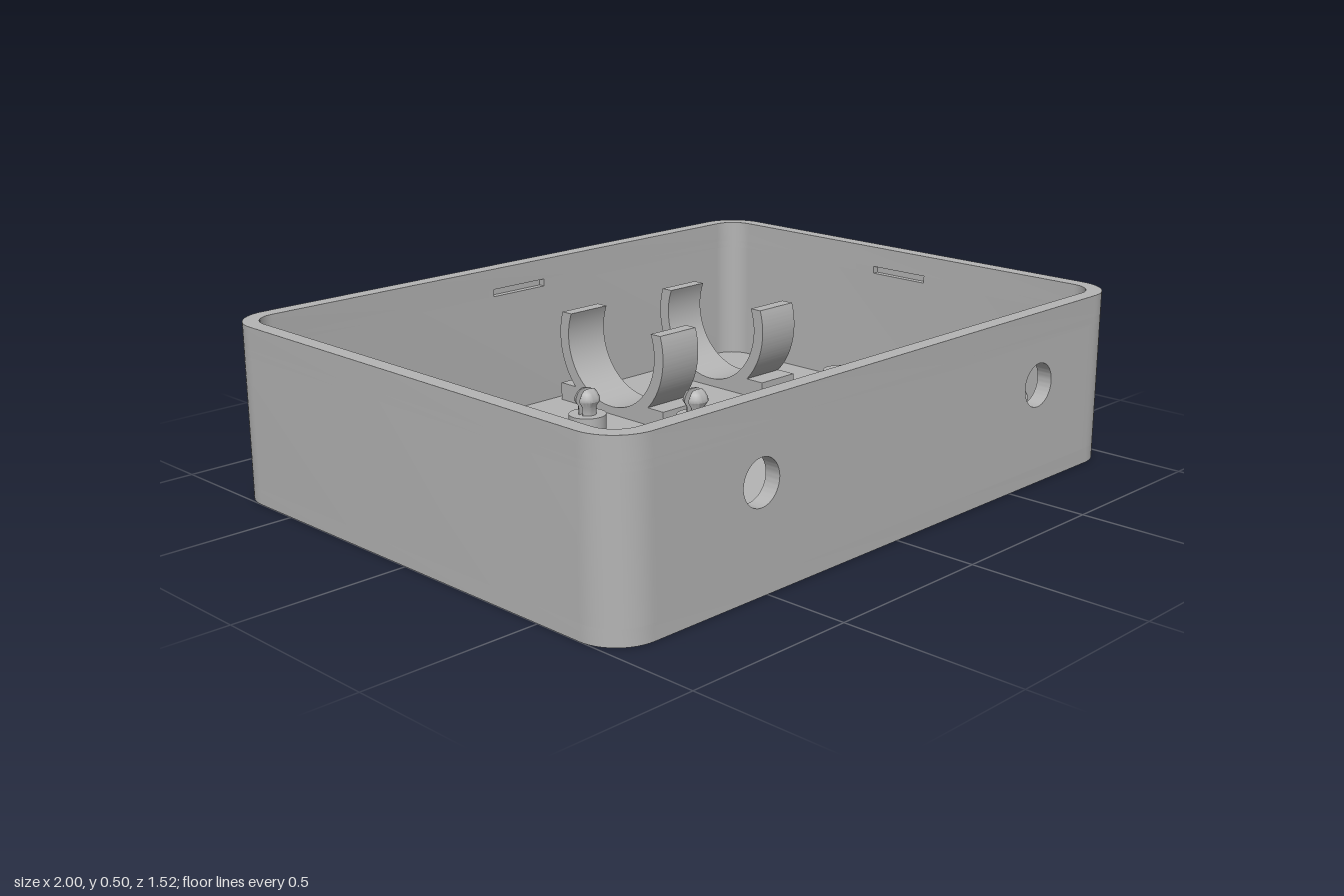
import * as THREE from 'three';
import { toCreasedNormals } from 'three/addons/utils/BufferGeometryUtils.js';

const HX = 1, HZ = 0.7625, R = 0.12;         // outer half sizes and corner radius
const IX = 0.955, IZ = 0.7175, IR = 0.075;   // inner cavity
const FLOOR = 0.045, HEIGHT = 0.5;
const GROOVE = [0.415, 0.437];               // lid groove, bottom and top
const GAP = 0.86;                            // half width of the front panel

const V = (x, y) => new THREE.Vector2(x, y);

// Rounded rectangle, counter-clockwise from the front right corner.
// A notch depth above zero cuts a short slot in the middle of each side.
function outline(hx, hz, r, notch = 0) {
  const pts = [];
  [[1, -1], [1, 1], [-1, 1], [-1, -1]].forEach(([sx, sz], k) => {
    for (let i = 0; i <= 12; i++) {
      const a = (k - 1 + i / 12) * Math.PI / 2;
      pts.push(V(sx * (hx - r) + r * Math.cos(a), sz * (hz - r) + r * Math.sin(a)));
    }
    if (notch > 0) {
      const a = k * Math.PI / 2, d = k % 2 ? hz : hx;
      for (const [n, t] of [[d, -0.1], [d + notch, -0.1], [d + notch, 0.1], [d, 0.1]]) {
        pts.push(V(n * Math.cos(a) - t * Math.sin(a), n * Math.sin(a) + t * Math.cos(a)));
      }
    }
  });
  return pts;
}

const extrude = (shape, depth) => toCreasedNormals(
  new THREE.ExtrudeGeometry(shape, { depth, bevelEnabled: false, curveSegments: 32 }), 0.6);

// Extrude a plan shape upward between two heights.
const slab = (shape, y0, y1) => extrude(shape, y1 - y0).rotateX(-Math.PI / 2).translate(0, y0, 0);

function ring(notch) {
  const s = new THREE.Shape(outline(HX, HZ, R));
  s.holes.push(new THREE.Path(outline(IX, IZ, IR, notch)));
  return s;
}

export function createModel() {
  const model = new THREE.Group();
  model.name = 'enclosure';
  const grey = new THREE.MeshStandardMaterial({ color: 0xb4b4b4 });
  grey.name = 'grey plastic';

  const add = (name, geometry, parent = model) => {
    const mesh = new THREE.Mesh(geometry, grey);
    mesh.name = name;
    parent.add(mesh);
    return mesh;
  };

  // Floor
  add('floor', slab(new THREE.Shape(outline(HX, HZ, R)), 0, FLOOR));

  // Side and back walls, open where the front panel sits
  const wall = [
    V(GAP, -HZ), ...outline(HX, HZ, R), V(-GAP, -HZ),
    V(-GAP, -IZ), ...outline(IX, IZ, IR).reverse(), V(GAP, -IZ),
  ];
  add('sideAndBackWalls', slab(new THREE.Shape(wall), FLOOR, GROOVE[0]));

  // Front panel with two round cable holes
  const front = new THREE.Shape([
    V(-GAP, FLOOR), V(GAP, FLOOR), V(GAP, GROOVE[0]), V(-GAP, GROOVE[0])]);
  for (const x of [-0.525, 0.615]) {
    front.holes.push(new THREE.Path().absarc(x, 0.29, 0.063, 0, Math.PI * 2, true));
  }
  add('frontPanel', extrude(front, HZ - IZ).translate(0, 0, IZ));

  // Upper wall with the lid grooves, then the rim
  add('groovedWall', slab(ring(0.02), GROOVE[0], GROOVE[1]));
  add('rim', slab(ring(0), GROOVE[1], HEIGHT));

  // Standoffs, all but one carrying a split snap pin
  const baseTop = 0.12;
  const baseGeo = new THREE.CylinderGeometry(0.056, 0.056, baseTop - FLOOR, 32)
    .translate(0, (baseTop + FLOOR) / 2, 0);
  const pinProfile = [[0.027, 0], [0.027, 0.025], [0.038, 0.042], [0.037, 0.052],
    [0.03, 0.066], [0.02, 0.076], [0, 0.078]].map(([r, y]) => V(r, y + baseTop));
  const halfPin = new THREE.LatheGeometry(pinProfile, 24);
  const pos = halfPin.attributes.position;
  for (let i = 0; i < pos.count; i++) pos.setZ(i, Math.max(pos.getZ(i), 0.008)); // flat slot face
  const pinGeo = toCreasedNormals(halfPin, 0.7);

  const spots = [
    [-0.815, -0.34], [-0.07, -0.34], [-0.815, 0.54], [-0.07, 0.54],
    [0.15, -0.11], [0.15, 0.555], [0.815, 0.555], [0.815, -0.11, 'plain'],
  ];
  for (const [x, z, plain] of spots) {
    const standoff = new THREE.Group();
    standoff.name = 'standoff';
    standoff.position.set(x, 0, z);
    add('standoffBase', baseGeo, standoff);
    if (!plain) {
      add('pinHalf', pinGeo, standoff);
      add('pinHalf', pinGeo, standoff).rotation.y = Math.PI;
    }
    model.add(standoff);
  }

  // Round cradle clips on block feet
  const cy = 0.26, ro = 0.2275, ri = 0.19, footTop = 0.1, tipY = 0.332;
  const angle = (y, r) => Math.asin((y - cy) / r);
  const clip = new THREE.Shape();
  clip.moveTo(-ro, FLOOR);
  clip.lineTo(ro, FLOOR);
  clip.lineTo(ro, footTop);
  clip.absarc(0, cy, ro, angle(footTop, ro), angle(tipY, ro), false);
  clip.absarc(0, cy, ri, angle(tipY, ri), Math.PI - angle(tipY, ri), true);
  clip.absarc(0, cy, ro, Math.PI - angle(tipY, ro), Math.PI - angle(footTop, ro), false);
  clip.lineTo(-ro, footTop);
  const clipGeo = extrude(clip, 0.15).rotateY(Math.PI / 2);
  for (const x of [0.14, 0.58]) add('cradleClip', clipGeo).position.set(x, 0, -0.4625);

  return model;
}
